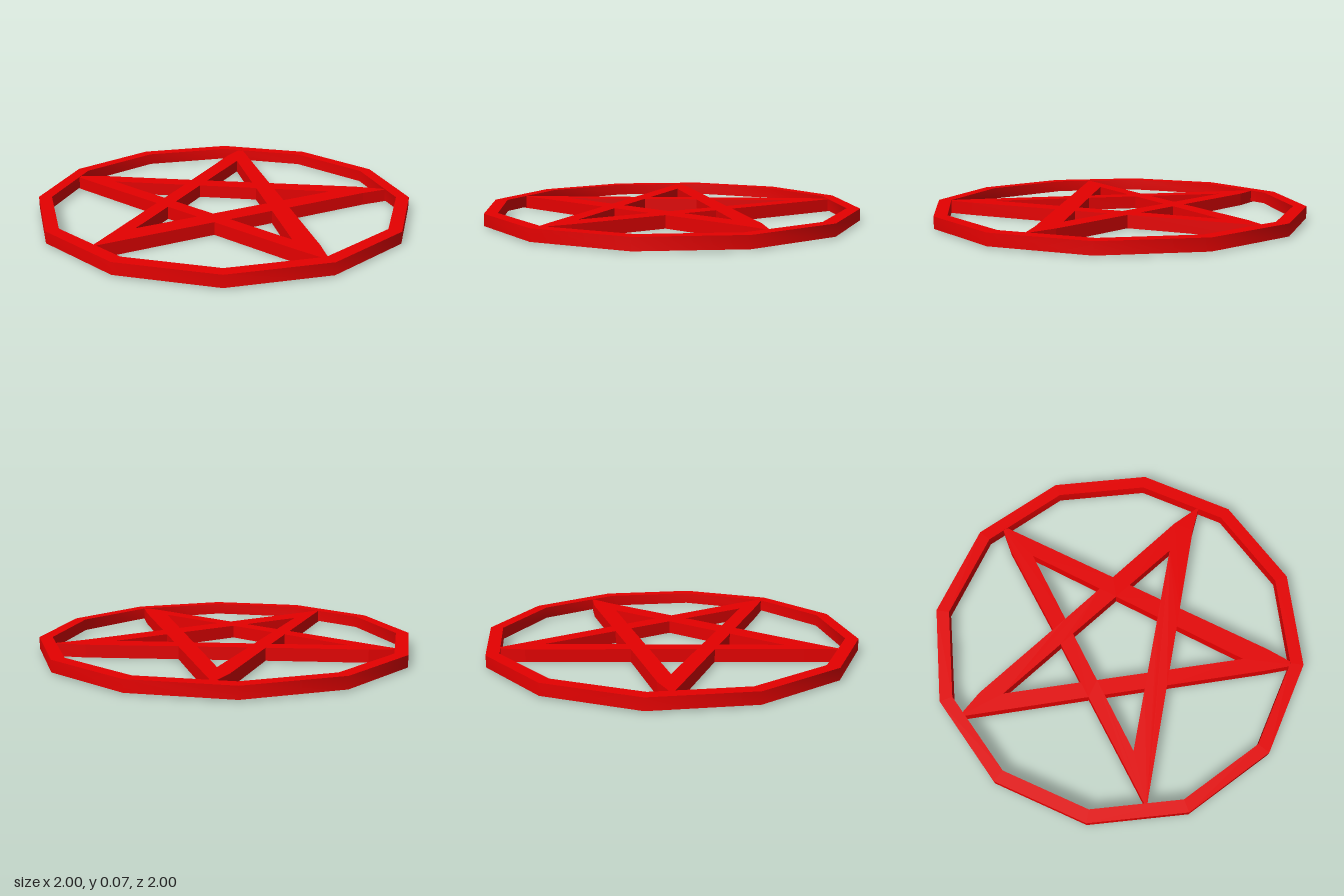
import * as THREE from 'three';
import { toCreasedNormals } from 'three/addons/utils/BufferGeometryUtils.js';

// Slab from an outline and holes given as [x, z] points on the ground plane.
// The outline is reversed to run counter-clockwise so that the hole walls face inwards.
function slab(outline, holes, bottom, top) {
  const toVec = ([x, z]) => new THREE.Vector2(x, -z);
  const shape = new THREE.Shape(outline.map(toVec).reverse());
  shape.holes = holes.map((hole) => new THREE.Path(hole.map(toVec)));
  const geometry = new THREE.ExtrudeGeometry(shape, { depth: top - bottom, bevelEnabled: false });
  return geometry.rotateX(-Math.PI / 2).translate(0, bottom, 0);
}

// Meeting point of two lines, each given by two points
function cross([[ax, az], [bx, bz]], [[cx, cz], [dx, dz]]) {
  const ux = bx - ax, uz = bz - az, vx = dx - cx, vz = dz - cz;
  const t = ((cx - ax) * vz - (cz - az) * vx) / (ux * vz - uz * vx);
  return [ax + t * ux, az + t * uz];
}

const polygon = (radius, sides) => Array.from({ length: sides }, (_, i) => {
  const a = (i / sides) * Math.PI * 2;
  return [radius * Math.cos(a), radius * Math.sin(a)];
});

// Outer and inner edge line of each of the five star bars
const bars = {
  a: { outer: [[-0.42, -0.665], [0.73, 0.21]], inner: [[-0.405, -0.545], [0.556, 0.205]] },
  b: { outer: [[0.42, -0.67], [-0.72, 0.17]], inner: [[0.405, -0.545], [-0.6, 0.177]] },
  c: { outer: [[-0.556, -0.727], [-0.064, 0.8]], inner: [[-0.405, -0.545], [-0.016, 0.68]] },
  d: { outer: [[0.556, -0.733], [0.06, 0.8]], inner: [[0.405, -0.545], [-0.016, 0.68]] },
  e: { outer: [[-0.8, 0.287], [0.7, 0.317]], inner: [[-0.6, 0.177], [0.556, 0.205]] },
};

// Tips in order round the star: outline points, the bars on either side, and the bar crossing behind
const tips = [
  { points: [[-0.565, -0.75], [-0.42, -0.67]], prev: 'c', next: 'a', base: 'b' },
  { points: [[0.42, -0.675], [0.563, -0.755]], prev: 'b', next: 'd', base: 'a' },
  { points: [[0.73, 0.21], [0.855, 0.333], [0.7, 0.317]], prev: 'a', next: 'e', base: 'd' },
  { points: [[0.06, 0.8], [-0.005, 0.965], [-0.064, 0.8]], prev: 'd', next: 'c', base: 'e' },
  { points: [[-0.8, 0.287], [-0.88, 0.287], [-0.72, 0.17]], prev: 'e', next: 'b', base: 'c' },
];

function starGeometry(bottom, top) {
  const outline = [], centre = [], holes = [];
  tips.forEach((tip, i) => {
    const p = bars[tip.prev], n = bars[tip.next], base = bars[tip.base];
    const neighbour = bars[tips[(i + 1) % tips.length].prev];
    outline.push(...tip.points, cross(n.outer, neighbour.outer));
    centre.push(cross(n.inner, neighbour.inner));
    holes.push([cross(p.inner, n.inner), cross(n.inner, base.outer), cross(p.inner, base.outer)]);
  });
  return slab(outline, [centre, ...holes], bottom, top);
}

export function createModel() {
  const group = new THREE.Group();
  const red = new THREE.MeshStandardMaterial({ color: 0xe60000 });
  red.name = 'red';

  // Twelve-sided rim with softly shaded walls
  const rimGeometry = slab(polygon(1, 12), [polygon(0.93, 12)], 0.007, 0.07);
  const rim = new THREE.Mesh(toCreasedNormals(rimGeometry, 0.6), red);
  rim.name = 'rim';

  // Five-pointed star made of crossing bars, set slightly lower than the rim
  const star = new THREE.Mesh(starGeometry(0, 0.068), red);
  star.name = 'star';

  group.add(rim, star);
  return group;
}
